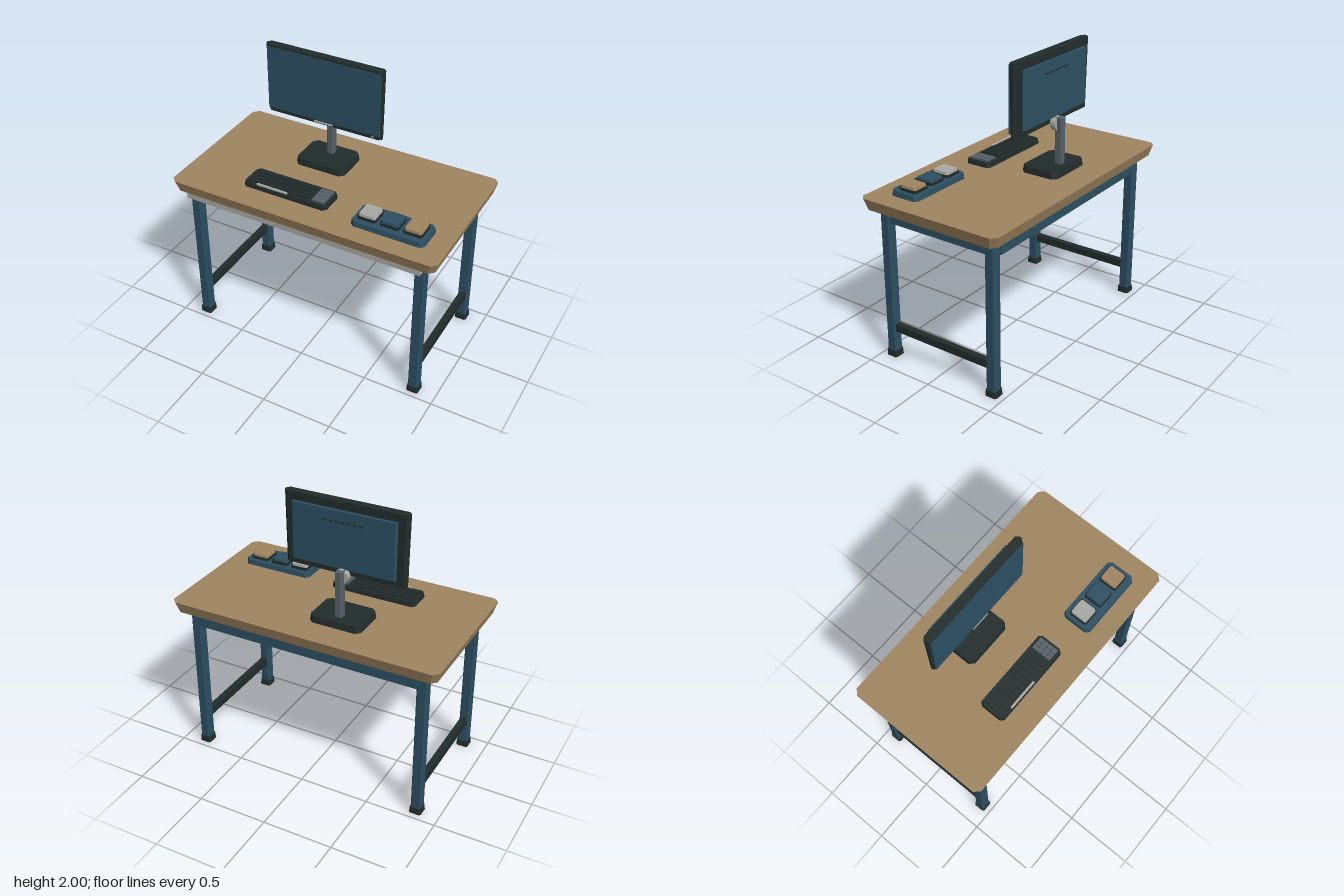
import * as THREE from 'three';

const mat = (name, color) => {
  const m = new THREE.MeshStandardMaterial({ color });
  m.name = name;
  return m;
};

// Upright box with cut corners; the lower and upper outlines can be drawn in.
function cutBox(w, h, d, cut, insetBottom = 0, insetTop = 0) {
  const a = w / 2, b = d / 2;
  const outline = [
    [-a + cut, -b], [a - cut, -b], [a, -b + cut], [a, b - cut],
    [a - cut, b], [-a + cut, b], [-a, b - cut], [-a, -b + cut],
  ].map(([x, y]) => new THREE.Vector2(x, y));
  const geo = new THREE.ExtrudeGeometry(new THREE.Shape(outline), { depth: h, bevelEnabled: false });
  geo.rotateX(-Math.PI / 2).translate(0, -h / 2, 0);
  const p = geo.attributes.position;
  for (let i = 0; i < p.count; i++) {
    const inset = p.getY(i) < 0 ? insetBottom : insetTop;
    p.setX(i, p.getX(i) * (1 - inset / a));
    p.setZ(i, p.getZ(i) * (1 - inset / b));
  }
  geo.computeVertexNormals();
  return geo;
}

export function createModel() {
  const wood = mat('warm wood', 0xa08560);
  const blue = mat('slate blue', 0x2d5063);
  const dark = mat('charcoal', 0x222c2c);
  const light = mat('light grey', 0xa8aaa4);
  const steel = mat('steel grey', 0x58626a);

  const root = new THREE.Group();
  root.name = 'deskWorkstation';
  const group = (name) => {
    const g = new THREE.Group();
    g.name = name;
    root.add(g);
    return g;
  };
  // Part given by its ranges in x, y and z
  const part = (parent, name, material, [x0, x1], [y0, y1], [z0, z1], cut = 0, insetBottom = 0, insetTop = 0) => {
    const w = x1 - x0, h = y1 - y0, d = z1 - z0;
    const geo = cut ? cutBox(w, h, d, cut, insetBottom, insetTop) : new THREE.BoxGeometry(w, h, d);
    const mesh = new THREE.Mesh(geo, material);
    mesh.name = name;
    mesh.position.set((x0 + x1) / 2, (y0 + y1) / 2, (z0 + z1) / 2);
    parent.add(mesh);
    return mesh;
  };

  // Desk
  const desk = group('desk');
  part(desk, 'tabletop', wood, [-0.975, 0.975], [1.1, 1.18], [-0.533, 0.533], 0.037, 0.022, 0);
  for (const s of [-1, 1]) {
    const side = s > 0 ? 'left' : 'right';
    const span = (a, b) => (s > 0 ? [a, b] : [-b, -a]);
    for (const [end, z] of [['Front', 0.42], ['Back', -0.415]]) {
      part(desk, side + end + 'Leg', blue, span(0.805, 0.875), [0.04, 1.1], [z - 0.035, z + 0.035], 0.007);
      part(desk, side + end + 'Foot', dark, span(0.797, 0.882), [0, 0.045], [z - 0.044, z + 0.044], 0.01, 0, 0.003);
    }
    part(desk, side + 'Apron', blue, span(0.812, 0.866), [1.0, 1.075], [-0.385, 0.39]);
    part(desk, side + 'Stretcher', dark, span(0.818, 0.862), [0.195, 0.25], [-0.385, 0.39]);
  }
  part(desk, 'backApron', blue, [-0.81, 0.81], [0.995, 1.09], [-0.46, -0.4]);
  part(desk, 'frontRail', light, [-0.865, 0.865], [1.055, 1.1], [0.455, 0.505]);

  // Monitor
  const monitor = group('monitor');
  part(monitor, 'monitorFrame', dark, [-0.595, 0.275], [1.5, 2.0], [-0.182, -0.122], 0.02, 0.006, 0);
  part(monitor, 'screen', blue, [-0.58, 0.26], [1.53, 1.987], [-0.128, -0.119]);
  part(monitor, 'bezelStrip', light, [-0.227, -0.088], [1.511, 1.521], [-0.125, -0.117]);
  part(monitor, 'powerLight', wood, [0.2, 0.22], [1.512, 1.52], [-0.125, -0.117]);
  const back = part(monitor, 'backPanel', blue, [-0.53, 0.21], [1.55, 1.945], [-0.206, -0.18], 0.012);
  for (let i = -3; i <= 3; i++) {
    const x = -0.16 + i * 0.042;
    part(monitor, 'ventSlot', dark, [x - 0.014, x + 0.014], [1.866, 1.876], [-0.209, -0.203]);
  }

  // Monitor stand
  const stand = group('monitorStand');
  part(stand, 'standBase', dark, [-0.345, 0.03], [1.18, 1.227], [-0.328, -0.047], 0.032, 0, 0.006);
  part(stand, 'standColumn', steel, [-0.184, -0.134], [1.22, 1.552], [-0.266, -0.21], 0.006);
  const hinge = new THREE.Mesh(new THREE.CylinderGeometry(0.05, 0.05, 0.04, 14), light);
  hinge.name = 'tiltHinge';
  hinge.rotation.x = Math.PI / 2;
  hinge.position.set(-0.159, 1.505, -0.208);
  stand.add(hinge);

  // Keyboard
  const keyboard = group('keyboard');
  part(keyboard, 'keyboardBody', dark, [-0.51, 0.115], [1.18, 1.213], [0.155, 0.35], 0.022, 0, 0.004);
  for (let r = 0; r < 4; r++) {
    const z = 0.197 + r * 0.037;
    for (let c = 0; c < 11; c++) {
      const x = -0.468 + c * 0.042;
      part(keyboard, 'key', dark, [x - 0.017, x + 0.017], [1.21, 1.224], [z - 0.014, z + 0.014]);
    }
    for (let c = 0; c < 3; c++) {
      const x = 0.016 + c * 0.031;
      part(keyboard, 'numberKey', steel, [x - 0.014, x + 0.014], [1.21, 1.226], [z - 0.016, z + 0.016]);
    }
  }
  part(keyboard, 'spaceBar', light, [-0.405, -0.175], [1.208, 1.224], [0.331, 0.346]);

  // Button tray
  const tray = group('buttonTray');
  part(tray, 'trayBody', blue, [0.318, 0.832], [1.18, 1.216], [0.182, 0.4], 0.025, 0, 0.004);
  [light, blue, wood].forEach((material, i) => {
    const x = 0.413 + i * 0.16, z = 0.285;
    part(tray, 'buttonCollar', dark, [x - 0.066, x + 0.066], [1.21, 1.234], [z - 0.07, z + 0.07], 0.012);
    part(tray, 'buttonCap', material, [x - 0.06, x + 0.06], [1.23, 1.251], [z - 0.063, z + 0.063], 0.01, 0, 0.003);
  });

  return root;
}
